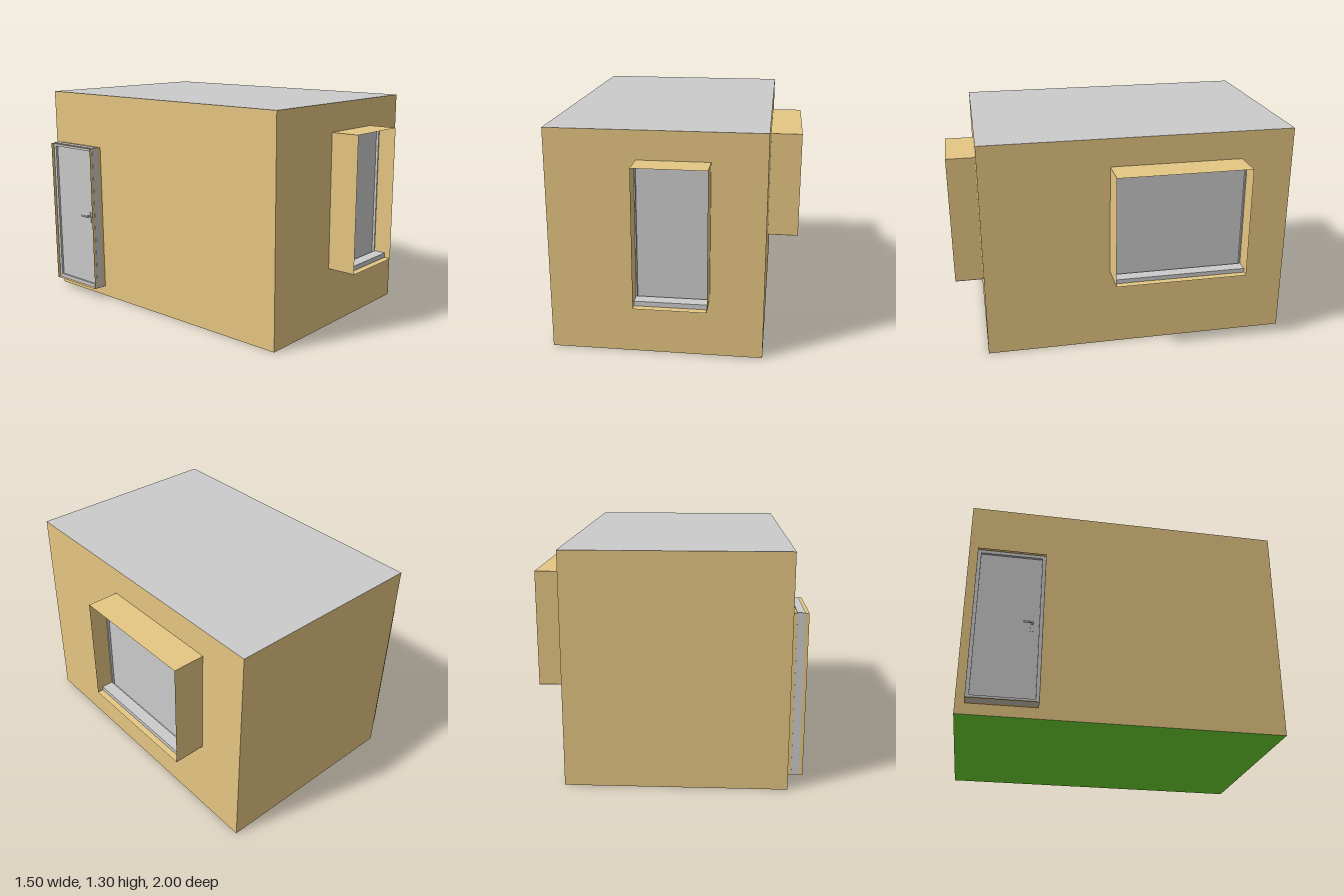
import * as THREE from 'three';

const material = (color) => new THREE.MeshStandardMaterial({ color, side: THREE.DoubleSide });
const TAN = material(0xe6c783);
const GREY = material(0xcccccc);
const GREEN = material(0x71e234);

function add(parent, name, geometry, mat, x, y, z) {
  const mesh = new THREE.Mesh(geometry, mat);
  mesh.name = name;
  mesh.position.set(x, y, z);
  parent.add(mesh);
  return mesh;
}

const box = (parent, name, mat, w, h, d, x, y, z) =>
  add(parent, name, new THREE.BoxGeometry(w, h, d), mat, x, y, z);

// Flat panel whose normal is turned from +z by pitch (about x) or yaw (about y)
function panel(parent, name, mat, w, h, x, y, z, pitch = 0, yaw = 0) {
  const mesh = add(parent, name, new THREE.PlaneGeometry(w, h), mat, x, y, z);
  mesh.rotation.set(pitch, yaw, 0);
  return mesh;
}

const Q = Math.PI / 2;

// Thin open surround standing out from a wall; local z = 0 is the wall, y = 0 its bottom
function surround(parent, w, h, d) {
  for (const s of [-1, 1]) panel(parent, 'surroundSide', TAN, d, h, s * w / 2, h / 2, d / 2, 0, s * Q);
  panel(parent, 'surroundTop', TAN, w, d, 0, h, d / 2, -Q);
  panel(parent, 'surroundBottom', TAN, w, d, 0, 0, d / 2, Q);
}

// Four bars around an opening
function frame(parent, name, w, h, t, depth, z) {
  for (const s of [-1, 1]) {
    box(parent, name, GREY, t, h, depth, s * (w - t) / 2, h / 2, z);
    box(parent, name, GREY, w - 2 * t, t, depth, 0, h / 2 + s * (h - t) / 2, z);
  }
}

function makeWindow(name, w, h, d, sillHeight) {
  const g = new THREE.Group();
  g.name = name;
  surround(g, w, h, d);
  panel(g, 'surroundUnderside', GREY, w, d, 0, -0.002, d / 2, Q);
  const face = d - 0.105;
  const iw = w - 0.004, ih = h - 0.004;
  box(g, 'pane', GREY, iw, ih, 0.02, 0, h / 2, face - 0.025);
  const rim = new THREE.Group();
  rim.position.y = 0.002;
  rim.name = 'windowFrame';
  g.add(rim);
  frame(rim, 'frameBar', iw, ih, 0.007, 0.03, face - 0.015);
  // sill set slightly back from the outer edge
  const sillDepth = 0.07;
  box(g, 'sill', GREY, iw, sillHeight, sillDepth, 0, sillHeight / 2 + 0.001, face + sillDepth / 2);
  return g;
}

function makeDoor(w, h, d) {
  const g = new THREE.Group();
  g.name = 'door';
  surround(g, w, h, d);
  // frame showing as a narrow band on the outside of the surround
  frame(g, 'doorFrame', w + 0.003, h + 0.003, 0.022, 0.042, 0.044);
  box(g, 'doorLeaf', GREY, w - 0.04, h - 0.04, 0.02, 0, h / 2, 0.042);
  // lever handle
  const hx = w / 2 - 0.06, hy = 0.47;
  box(g, 'handlePlate', GREY, 0.018, 0.07, 0.004, hx, hy - 0.01, 0.054);
  const stem = add(g, 'handleStem', new THREE.CylinderGeometry(0.006, 0.006, 0.03, 12), GREY, hx, hy, 0.066);
  stem.rotation.x = Q;
  const lever = add(g, 'handleLever', new THREE.CylinderGeometry(0.006, 0.006, 0.055, 12), GREY, hx - 0.022, hy, 0.08);
  lever.rotation.z = Q;
  return g;
}

export function createModel() {
  const model = new THREE.Group();
  model.name = 'smallHouse';

  // Room shell
  const x0 = -0.665, x1 = 0.555, z0 = -1, z1 = 0.83, H = 1.305;
  const W = x1 - x0, D = z1 - z0, cx = (x0 + x1) / 2, cz = (z0 + z1) / 2;
  panel(model, 'frontWall', TAN, W, H, cx, H / 2, z1);
  panel(model, 'backWall', TAN, W, H, cx, H / 2, z0, 0, Math.PI);
  panel(model, 'leftWall', TAN, D, H, x1, H / 2, cz, 0, Q);
  panel(model, 'rightWall', TAN, D, H, x0, H / 2, cz, 0, -Q);
  panel(model, 'roof', GREY, W, D, cx, H, cz, -Q);
  panel(model, 'floor', GREEN, W, D, cx, 0, cz, Q);

  // Windows on the front and left walls
  const front = makeWindow('frontWindow', 0.407, 0.793, 0.17, 0.028);
  front.position.set(0.048, 0.348, z1);
  const side = makeWindow('sideWindow', 0.78, 0.66, 0.19, 0.025);
  side.position.set(x1, 0.478, -0.302);
  side.rotation.y = Q;

  // Door on the right wall
  const door = makeDoor(0.387, 0.912, 0.085);
  door.position.set(x0, 0.064, -0.755);
  door.rotation.y = -Q;

  model.add(front, side, door);
  return model;
}
